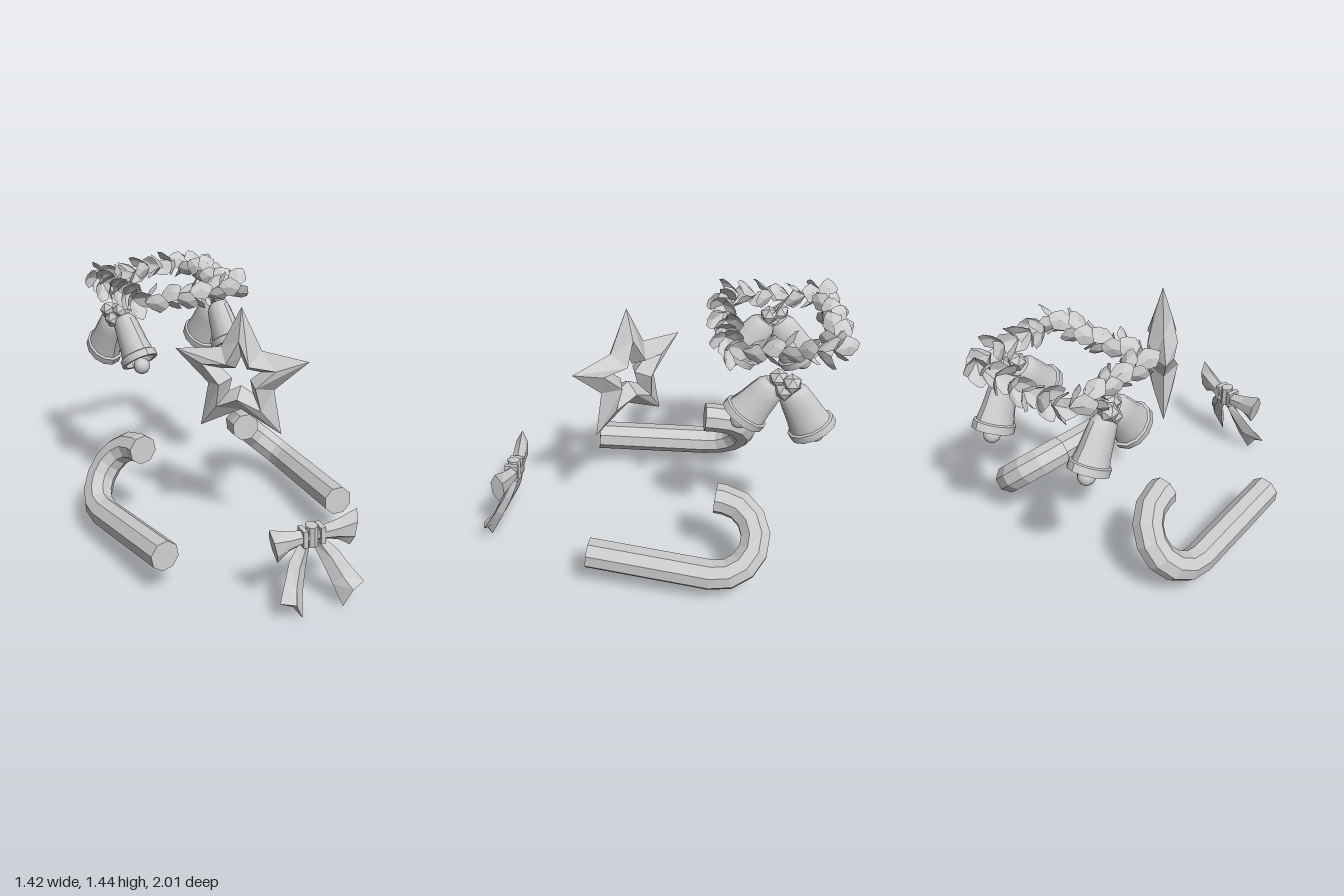
import * as THREE from 'three';
import { toCreasedNormals } from 'three/addons/utils/BufferGeometryUtils.js';

const V = (x, y, z) => new THREE.Vector3(x, y, z);
const flat = new THREE.MeshStandardMaterial({ color: 0xcccccc, flatShading: true });
const smooth = new THREE.MeshStandardMaterial({ color: 0xcccccc });
const thin = new THREE.MeshStandardMaterial({ color: 0xcccccc, flatShading: true, side: THREE.DoubleSide });

function add(parent, geo, name, mat = flat) {
  const m = new THREE.Mesh(geo, mat);
  m.name = name;
  parent.add(m);
  return m;
}

function group(parent, name) {
  const g = new THREE.Group();
  g.name = name;
  parent.add(g);
  return g;
}

// Skin between rings that run counter-clockwise about the direction of travel
function loft(rings, caps = true) {
  const pos = [];
  const tri = (...p) => p.forEach(v => pos.push(v.x, v.y, v.z));
  const n = rings[0].length;
  for (let i = 0; i < rings.length - 1; i++) {
    for (let j = 0; j < n; j++) {
      const k = (j + 1) % n, a = rings[i], b = rings[i + 1];
      tri(a[j], a[k], b[j]);
      tri(a[k], b[k], b[j]);
    }
  }
  if (caps) {
    [rings[0].slice().reverse(), rings[rings.length - 1]].forEach(r => {
      const c = r.reduce((s, p) => s.add(p), V(0, 0, 0)).divideScalar(n);
      r.forEach((p, j) => tri(c, p, r[(j + 1) % n]));
    });
  }
  const g = new THREE.BufferGeometry();
  g.setAttribute('position', new THREE.Float32BufferAttribute(pos, 3));
  g.computeVertexNormals();
  return g;
}

// Eight-sided cane: straight shaft from a to b, then a half circle ending near the point "end"
function cane(a, b, end) {
  const d = b.clone().sub(a).normalize();
  const e = end.clone().sub(b);
  e.addScaledVector(d, -e.dot(d));
  const R = e.length() / 2;
  e.normalize();
  const n = d.clone().cross(e), r = 0.084, rings = [];
  const ring = (c, E) => rings.push(Array.from({ length: 8 }, (_, j) => {
    const t = (j + 0.5) * Math.PI / 4;
    return c.clone().addScaledVector(E, r * Math.cos(t)).addScaledVector(n, r * Math.sin(t));
  }));
  ring(a, e);
  const steps = 7;
  for (let i = 0; i <= steps; i++) {
    const t = i / steps * Math.PI, c = Math.cos(t), s = Math.sin(t);
    ring(b.clone().addScaledVector(e, R * (1 - c)).addScaledVector(d, R * s),
      e.clone().multiplyScalar(c).addScaledVector(d, -s));
  }
  ring(b.clone().addScaledVector(e, 2 * R).addScaledVector(d, -0.045), e.clone().negate());
  return loft(rings);
}

// Bevelled five-pointed star, thickest near its star-shaped opening
function star() {
  const ring = (tip, notch, zTip, zNotch) => Array.from({ length: 10 }, (_, j) => {
    const r = j % 2 ? notch : tip, t = Math.PI / 2 + j * Math.PI / 5;
    return V(r * Math.cos(t), r * Math.sin(t), j % 2 ? zNotch : zTip);
  });
  const outer = ring(0.382, 0.19, 0, 0);
  return loft([outer, ring(0.21, 0.105, 0.052, 0.08), ring(0.112, 0.052, 0, 0), ring(0.21, 0.105, -0.052, -0.08), outer], false);
}

function buildBow(parent) {
  const bow = group(parent, 'bow');
  bow.position.set(-0.015, 0.405, 0.835);
  bow.rotation.set(0, -0.19, 0.05);
  add(bow, new THREE.CylinderGeometry(0.042, 0.042, 0.115, 8).scale(0.75, 1, 0.9), 'knot');
  for (const s of [1, -1]) {
    const side = s > 0 ? 'left' : 'right';
    const fix = rings => s > 0 ? rings : rings.map(r => r.reverse());
    // Flared loop: x, centre height, half height, half thickness, z
    const loop = [[0.02, 0, 0.035, 0.025, 0], [0.07, 0, 0.043, 0.035, 0], [0.14, 0.003, 0.06, 0.036, 0.012], [0.222, 0.003, 0.102, 0.034, 0.025]]
      .map(([x, y, h, t, z], i) => [[1, 0], [0.4, 1], [-0.4, 1], [-1, 0], [-0.4, -1], [0.4, -1]]
        .map(([p, q]) => V(s * (x + (i === 3 ? 0.02 * p : 0)), y + p * h, z + q * t)));
    add(bow, loft(fix(loop)), side + 'Loop');
    // Tail: inner x, y, outer x, y, ridge x, y, then z; the last row makes the notched end
    const tail = [[0.005, -0.05, 0.065, -0.035, 0.035, -0.045, -0.01], [0.045, -0.16, 0.135, -0.11, 0.09, -0.14, 0.02],
      [0.083, -0.28, 0.18, -0.19, 0.13, -0.235, 0.062], [0.115, -0.395, 0.235, -0.275, 0.158, -0.29, 0.12]]
      .map(([ix, iy, ox, oy, mx, my, z]) => [V(s * ox, oy, z), V(s * mx, my, z + 0.03), V(s * ix, iy, z), V(s * mx, my, z - 0.025)]);
    add(bow, loft(fix(tail)), side + 'Tail');
    // Side folds of the knot
    const fold = add(bow, new THREE.BoxGeometry(0.025, 0.095, 0.075), side + 'KnotFold');
    fold.position.x = s * 0.048;
  }
}

// Hollow bell, oval across, hanging from "top" and opening towards "mouth"
function buildBell(parent, top, mouth, name) {
  const bell = group(parent, name);
  const dir = mouth.clone().sub(top), L = dir.length();
  bell.position.copy(top);
  bell.quaternion.setFromUnitVectors(V(0, -1, 0), dir.normalize());
  const prof = [[0, 0.1], [0.045, 0.14], [0.065, 0.5], [0.095, 1], [0.115, 1], [0.115, 0.86], [0.102, 0.84],
    [0.09, 0.62], [0.081, 0.35], [0.072, 0.14], [0.05, 0.03], [0, 0]].map(([r, y]) => new THREE.Vector2(r, -y * L));
  const body = new THREE.LatheGeometry(prof, 12).scale(0.85, 1, 1.1);
  add(bell, toCreasedNormals(body, 0.6), 'bellBody', smooth);
  add(bell, new THREE.CylinderGeometry(0.014, 0.014, L * 0.95, 8).translate(0, -L * 0.55, 0), 'clapperRod', smooth);
  add(bell, new THREE.SphereGeometry(0.046, 12, 8).translate(0, -L - 0.025, 0), 'clapperBall', smooth);
}

// Broad leaf along +y, folded on its midrib
function leafGeometry() {
  const p = [V(0, 0, 0), V(0.038, 0.035, -0.006), V(0.054, 0.085, -0.01), V(0.026, 0.122, 0), V(0, 0.14, -0.004),
    V(-0.026, 0.122, 0), V(-0.054, 0.085, -0.01), V(-0.038, 0.035, -0.006)];
  const pos = [], mid = V(0, 0.075, 0.01);
  p.forEach((a, i) => [mid, a, p[(i + 1) % p.length]].forEach(v => pos.push(v.x, v.y, v.z)));
  const g = new THREE.BufferGeometry();
  g.setAttribute('position', new THREE.Float32BufferAttribute(pos, 3));
  g.computeVertexNormals();
  return g;
}

// Garland of leaves following a rounded square
function buildGarland(parent) {
  const garland = group(parent, 'garland');
  const path = new THREE.CatmullRomCurve3([[-0.27, -0.335], [0, -0.335], [0.23, -0.335], [0.29, -0.39], [0.29, -0.62], [0.29, -0.85],
    [0.23, -0.9], [0, -0.9], [-0.27, -0.9], [-0.325, -0.85], [-0.325, -0.62], [-0.325, -0.39]].map(([x, z]) => V(x, 1.35, z)), true, 'catmullrom', 0.4);
  const geo = leafGeometry(), N = 25, up = V(0, 1, 0);
  for (let i = 0; i < N; i++) {
    const c = path.getPointAt(i / N), t = path.getTangentAt(i / N), out = t.clone().cross(up);
    for (let k = 0; k < 3; k++) {
      const phi = k * 2.094 + i * 0.9, lean = 0.65 + 0.2 * Math.sin(i * 2.3 + k * 1.7);
      const r = out.clone().multiplyScalar(Math.cos(phi)).addScaledVector(up, Math.sin(phi));
      const y = t.clone().multiplyScalar(Math.cos(lean)).addScaledVector(r, Math.sin(lean));
      const z = r.clone().multiplyScalar(Math.cos(lean)).addScaledVector(t, -Math.sin(lean));
      const leaf = add(garland, geo, 'leaf', thin);
      leaf.quaternion.setFromRotationMatrix(new THREE.Matrix4().makeBasis(y.clone().cross(z), y, z));
      leaf.position.copy(c).addScaledVector(t, -0.03);
    }
  }
}

export function createModel() {
  const model = new THREE.Group();
  model.name = 'holidayDecorations';

  add(model, cane(V(-0.612, 0.24, 0.385), V(-0.635, 0.19, -0.268), V(-0.385, 0.52, -0.26)), 'rightCane');
  add(model, cane(V(0.512, 0.23, 0.385), V(0.628, 0.18, -0.268), V(0.327, 0.467, -0.27)), 'leftCane');

  const s = add(model, star(), 'star');
  s.position.set(-0.016, 1.04, 0.18);
  s.rotation.y = -0.85;

  buildBow(model);
  buildGarland(model);

  buildBell(model, V(0.305, 1.18, -0.58), V(0.295, 0.965, -0.42), 'leftFrontBell');
  buildBell(model, V(0.325, 1.16, -0.65), V(0.31, 0.895, -0.79), 'leftBackBell');
  buildBell(model, V(-0.315, 1.21, -0.58), V(-0.303, 0.985, -0.41), 'rightFrontBell');
  buildBell(model, V(-0.335, 1.2, -0.64), V(-0.342, 0.95, -0.79), 'rightBackBell');

  // Berry clusters where each pair of bells meets
  for (const [x, y] of [[0.33, 1.19], [-0.33, 1.22]]) {
    const berries = group(model, x > 0 ? 'leftBerries' : 'rightBerries');
    berries.position.set(x, y, -0.62);
    for (const [dx, dy, dz] of [[0.03, 0.01, -0.035], [-0.015, 0.015, 0.03], [0.02, -0.035, 0]]) {
      add(berries, new THREE.IcosahedronGeometry(0.052, 0), 'berry').position.set(Math.sign(x) * dx, dy, dz);
    }
  }
  return model;
}
